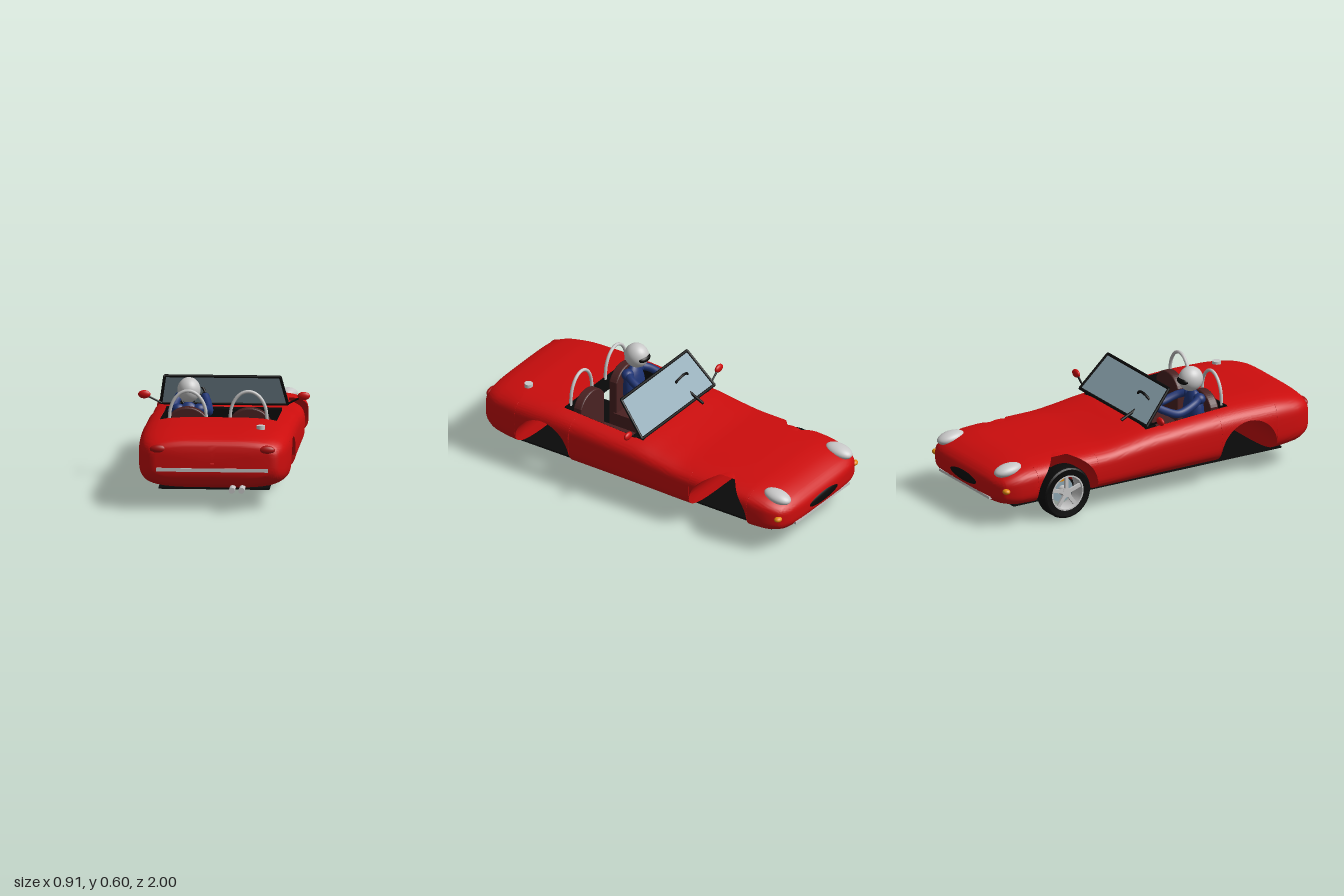
import * as THREE from 'three';
import { mergeGeometries, toCreasedNormals } from 'three/addons/utils/BufferGeometryUtils.js';

const mat = (name, color, double = false) => {
  const m = new THREE.MeshStandardMaterial({ color });
  m.name = name;
  if (double) m.side = THREE.DoubleSide;
  return m;
};

// Body stations: z, half width, top, bottom
const stations = [
  [-0.995, 0.01, 0.2, 0.19], [-0.99, 0.2, 0.235, 0.165], [-0.975, 0.3, 0.262, 0.14],
  [-0.94, 0.355, 0.29, 0.115], [-0.86, 0.388, 0.32, 0.1], [-0.75, 0.4, 0.336, 0.1],
  [-0.55, 0.402, 0.342, 0.1], [-0.35, 0.402, 0.344, 0.1], [-0.2, 0.402, 0.36, 0.1],
  [-0.05, 0.403, 0.382, 0.1], [0.1, 0.403, 0.392, 0.1], [0.3, 0.404, 0.405, 0.1],
  [0.5, 0.405, 0.415, 0.1], [0.7, 0.402, 0.412, 0.1], [0.85, 0.385, 0.395, 0.11],
  [0.92, 0.355, 0.375, 0.135], [0.945, 0.325, 0.35, 0.17], [0.953, 0.2, 0.31, 0.2],
  [0.956, 0.01, 0.26, 0.25],
];
const arches = [{ z: -0.587, y: 0.15, r: 0.185 }, { z: 0.537, y: 0.155, r: 0.174 }];
const COCKPIT = [-0.05, 0.455], SPLIT = 0.765, POWER = 4;

// Monotone cubic through one column of the stations
function profile(z, k) {
  const n = stations.length;
  const slope = (i) => (stations[i + 1][k] - stations[i][k]) / (stations[i + 1][0] - stations[i][0]);
  const tangent = (i) => {
    if (i === 0) return slope(0);
    if (i === n - 1) return slope(n - 2);
    const a = slope(i - 1), b = slope(i);
    return a * b <= 0 ? 0 : (2 * a * b) / (a + b);
  };
  let i = 0;
  while (i < n - 2 && z > stations[i + 1][0]) i++;
  const h = stations[i + 1][0] - stations[i][0], t = (z - stations[i][0]) / h;
  const t2 = t * t, t3 = t2 * t;
  return (2 * t3 - 3 * t2 + 1) * stations[i][k] + (t3 - 2 * t2 + t) * h * tangent(i)
    + (3 * t2 - 2 * t3) * stations[i + 1][k] + (t3 - t2) * h * tangent(i + 1);
}

// Cross-section of the body at z, its underside raised inside the wheel arches
function section(z) {
  const w = profile(z, 1), top = profile(z, 2), bottom = profile(z, 3);
  const cy = (top + bottom) / 2, h = (top - bottom) / 2;
  let low = bottom;
  for (const a of arches) {
    const d = Math.abs(z - a.z);
    if (d <= a.r + 1e-9) low = a.y + Math.sqrt(Math.max(0, a.r * a.r - d * d));
  }
  const height = (x) => h * Math.pow(Math.max(0, 1 - Math.pow(Math.abs(x) / w, POWER)), 1 / POWER);
  const xs = SPLIT * w;
  const start = Math.acos(Math.pow(SPLIT, POWER / 2));
  const q = Math.max(-1, Math.min(1, (low - cy) / h));
  const end = Math.max(-start, Math.asin(Math.sign(q) * Math.pow(Math.abs(q), POWER / 2)));
  const e = 2 / POWER;
  return {
    xs,
    top: (x) => cy + height(x),
    under: (x) => Math.max(low, cy - height(x)),
    side: (t) => {
      const a = start + (end - start) * t;
      return [w * Math.pow(Math.abs(Math.cos(a)), e), cy + h * Math.sign(Math.sin(a)) * Math.pow(Math.abs(Math.sin(a)), e)];
    },
  };
}

// Grid surface: one row per z, cols + 1 points per row
function grid(zs, cols, point, flip = false) {
  const pos = [], index = [];
  zs.forEach((z, i) => {
    const s = section(z);
    for (let j = 0; j <= cols; j++) {
      pos.push(...point(s, j), z);
      if (i < zs.length - 1 && j < cols) {
        const a = i * (cols + 1) + j, b = a + cols + 1;
        if (flip) index.push(a, a + 1, b, b, a + 1, b + 1);
        else index.push(a, b, a + 1, b, b + 1, a + 1);
      }
    }
  });
  const g = new THREE.BufferGeometry();
  g.setAttribute('position', new THREE.Float32BufferAttribute(pos, 3));
  g.setIndex(index);
  return g;
}

export function createModel() {
  const car = new THREE.Group();
  car.name = 'roadster';
  const red = mat('body red', 0xcc0d0d, true), black = mat('black', 0x0a0a0a, true);
  const silver = mat('silver', 0xc8c8c8, true), glass = mat('glass', 0x8fa8b4, true);
  const blue = mat('overall blue', 0x1e3474), maroon = mat('seat maroon', 0x4a2222);
  const orange = mat('orange', 0xe08a10), lampRed = mat('lamp red', 0xa80e0e);

  const add = (name, geo, material, x = 0, y = 0, z = 0, parent = car) => {
    const m = new THREE.Mesh(geo, material);
    m.name = name;
    m.position.set(x, y, z);
    parent.add(m);
    return m;
  };
  const box = (name, m, w, h, d, x, y, z, parent) => add(name, new THREE.BoxGeometry(w, h, d), m, x, y, z, parent);
  const ball = (name, m, rx, ry, rz, x, y, z) =>
    add(name, new THREE.SphereGeometry(1, 28, 18).scale(rx, ry, rz), m, x, y, z);
  const V = (x, y, z) => new THREE.Vector3(x, y, z);
  const tube = (name, m, pts, r, seg = 24) =>
    add(name, new THREE.TubeGeometry(new THREE.CatmullRomCurve3(pts), seg, r, 10), m);
  const rod = (name, m, a, b, r) => {
    const o = add(name, new THREE.CylinderGeometry(r, r, a.distanceTo(b), 12), m);
    o.position.copy(a).lerp(b, 0.5);
    o.quaternion.setFromUnitVectors(V(0, 1, 0), b.clone().sub(a).normalize());
    return o;
  };

  // Rows of the body, denser at arches and ends
  const rows = stations.map((s) => s[0]).concat(COCKPIT);
  for (let z = -0.98; z < 0.95; z += 0.03) rows.push(z);
  for (let k = 1; k < 12; k++) rows.push(-0.995 + 0.005 * k, 0.956 - 0.004 * k);
  for (const a of arches) {
    rows.push(a.z - a.r - 0.0005, a.z + a.r + 0.0005);
    for (let k = 0; k <= 36; k++) rows.push(a.z - a.r * Math.cos((Math.PI * k) / 36));
  }
  rows.sort((a, b) => a - b);
  const zs = rows.filter((z, i) => i === 0 || z - rows[i - 1] > 1e-4);
  const inside = zs.filter((z) => z >= COCKPIT[0] && z <= COCKPIT[1]);

  // Body shell: two flanks, then deck and underside fore and aft of the cockpit
  const N = 30, M = 16, parts = [];
  for (const s of [1, -1]) {
    parts.push(grid(zs, N + 1, (c, j) => {
      if (j > N) return [s * c.xs, c.under(c.xs)];
      const [x, y] = c.side(j / N);
      return [s * x, y];
    }, s < 0));
  }
  for (const part of [zs.filter((z) => z <= COCKPIT[0]), zs.filter((z) => z >= COCKPIT[1])]) {
    const across = (c, j) => c.xs * ((2 * j) / M - 1);
    parts.push(grid(part, M, (c, j) => [across(c, j), c.top(across(c, j))]));
    parts.push(grid(part, M, (c, j) => [across(c, j), c.under(across(c, j))], true));
  }
  add('bodyShell', toCreasedNormals(mergeGeometries(parts), 0.75), red);

  // Cockpit lining and floor
  for (const s of [1, -1]) {
    const wall = grid(inside, 1, (c, j) => [s * (c.xs - 0.001), j ? c.top(c.xs) : c.under(c.xs)]);
    wall.computeVertexNormals();
    add('cockpitSide', wall, black);
  }
  box('cockpitFloor', black, 0.61, 0.006, 0.41, 0, 0.125, 0.155);
  box('cockpitFront', black, 0.61, 0.25, 0.006, 0, 0.25, -0.046);
  box('cockpitRear', black, 0.61, 0.09, 0.006, 0, 0.358, 0.452);
  box('dashboard', black, 0.61, 0.07, 0.06, 0, 0.345, -0.015);
  box('floorPan', black, 0.585, 0.01, 1.66, 0, 0.095, -0.03);

  // Seats and roll hoops
  const back = new THREE.Shape();
  back.moveTo(-0.1, 0.13);
  back.lineTo(0.1, 0.13);
  back.lineTo(0.1, 0.39);
  back.bezierCurveTo(0.08, 0.43, 0.04, 0.45, 0, 0.45);
  back.bezierCurveTo(-0.04, 0.45, -0.08, 0.43, -0.1, 0.39);
  for (const s of [1, -1]) {
    box('seatCushion', maroon, 0.23, 0.08, 0.28, s * 0.165, 0.17, 0.25);
    const g = new THREE.ExtrudeGeometry(back, { depth: 0.035, bevelSize: 0.008, bevelThickness: 0.008, curveSegments: 10 });
    add('seatBack', g, maroon, s * 0.165, 0, 0.38);
    const hoop = [V(s * 0.16 - 0.1, 0.39, 0.45)];
    for (let k = 0; k <= 10; k++) {
      const a = Math.PI * (1 - k / 10);
      hoop.push(V(s * 0.16 + 0.097 * Math.cos(a), 0.415 + 0.137 * Math.sin(a), 0.45));
    }
    hoop.push(V(s * 0.16 + 0.1, 0.39, 0.45));
    tube('rollHoop', silver, hoop, 0.009, 36);
  }

  // Windscreen with frame
  const corner = [V(-0.335, 0.395, -0.06), V(0.335, 0.395, -0.06), V(0.305, 0.568, 0.095), V(-0.305, 0.568, 0.095)];
  const pane = new THREE.BufferGeometry().setFromPoints(corner);
  pane.setIndex([0, 1, 2, 0, 2, 3]);
  pane.computeVertexNormals();
  add('windscreen', pane, glass);
  corner.forEach((c, i) => rod('windscreenFrame', black, c, corner[(i + 1) % 4], 0.008));

  // Steering wheel and column
  const hub = V(-0.16, 0.457, 0.045), columnEnd = V(-0.16, 0.385, -0.11);
  rod('steeringColumn', black, hub, columnEnd, 0.008);
  const wheelRim = add('steeringWheel', new THREE.TorusGeometry(0.066, 0.007, 10, 36), black, hub.x, hub.y, hub.z);
  wheelRim.quaternion.setFromUnitVectors(V(0, 0, 1), hub.clone().sub(columnEnd).normalize());
  const bar = box('steeringSpoke', black, 0.13, 0.012, 0.006, hub.x, hub.y, hub.z);
  bar.quaternion.copy(wheelRim.quaternion);

  // Driver
  ball('driverHead', silver, 0.061, 0.067, 0.067, -0.163, 0.535, 0.318);
  ball('driverVisor', black, 0.045, 0.021, 0.03, -0.163, 0.533, 0.273);
  ball('driverTorso', blue, 0.075, 0.14, 0.05, -0.163, 0.335, 0.335);
  for (const s of [1, -1]) {
    const at = (dx, y, z) => V(-0.163 + s * dx, y, z);
    tube('driverArm', blue, [at(0.05, 0.44, 0.34), at(0.085, 0.425, 0.29), at(0.098, 0.395, 0.18), at(0.085, 0.425, 0.1), at(0.068, 0.455, 0.05)], 0.022);
    ball('driverShoulder', blue, 0.035, 0.03, 0.032, -0.163 + s * 0.055, 0.435, 0.338);
    ball('driverHand', black, 0.016, 0.016, 0.016, -0.163 + s * 0.066, 0.458, 0.045);
    rod('driverLeg', blue, at(0.04, 0.23, 0.31), at(0.05, 0.2, 0.02), 0.032);
  }

  // Lamps and mirrors
  for (const s of [1, -1]) {
    ball('headlight', silver, 0.05, 0.033, 0.08, s * 0.285, 0.302, -0.893).rotation.x = -0.15;
    ball('indicator', orange, 0.024, 0.015, 0.02, s * 0.352, 0.21, -0.943);
    ball('tailLight', lampRed, 0.046, 0.024, 0.02, s * 0.285, 0.327, 0.934);
    ball('mirror', red, 0.033, 0.022, 0.014, s * 0.421, 0.445, -0.03);
    rod('mirrorStem', black, V(s * 0.33, 0.398, -0.04), V(s * 0.41, 0.44, -0.03), 0.005);
  }

  // Grille, bumpers, exhausts, filler cap
  ball('grille', black, 0.15, 0.032, 0.016, 0, 0.2, -0.984);
  box('frontBumper', silver, 0.5, 0.014, 0.025, 0, 0.15, -0.974);
  box('rearBumper', silver, 0.59, 0.019, 0.022, 0, 0.22, 0.947);
  for (const x of [0.106, 0.157]) {
    rod('exhaust', silver, V(x, 0.12, 0.86), V(x, 0.12, 1), 0.016);
  }
  add('fillerCap', new THREE.CylinderGeometry(0.023, 0.023, 0.025, 20), silver, 0.243, 0.41, 0.73);

  // The single fitted wheel, built along y with its outer face up
  const wheel = new THREE.Group();
  wheel.name = 'frontWheel';
  wheel.position.set(-0.346, 0.143, -0.585);
  wheel.rotation.z = Math.PI / 2;
  car.add(wheel);
  const lathe = (name, m, pts) =>
    add(name, toCreasedNormals(new THREE.LatheGeometry(pts.map((p) => new THREE.Vector2(...p)), 48), 0.6), m, 0, 0, 0, wheel);
  lathe('tyre', black, [[0.096, -0.042], [0.13, -0.046], [0.139, -0.041], [0.142, -0.032], [0.142, 0.032], [0.139, 0.041], [0.13, 0.046], [0.096, 0.042]]);
  lathe('rim', silver, [[0.098, -0.044], [0.09, -0.044], [0.087, -0.03], [0.087, 0.03], [0.09, 0.044], [0.098, 0.044]]);
  add('brakeDisc', new THREE.CylinderGeometry(0.066, 0.066, 0.01, 36), glass, 0, -0.02, 0, wheel);
  add('hub', new THREE.CylinderGeometry(0.026, 0.026, 0.07, 24), silver, 0, 0.002, 0, wheel);
  box('brakeCaliper', orange, 0.03, 0.03, 0.05, -0.064, -0.025, 0, wheel).position.x = 0.064;
  for (let k = 0; k < 5; k++) {
    const a = (k / 5) * Math.PI * 2;
    const spoke = box('spoke', silver, 0.075, 0.012, 0.02, 0.052 * Math.cos(a), 0.03, -0.052 * Math.sin(a), wheel);
    spoke.rotation.y = a;
  }
  return car;
}
